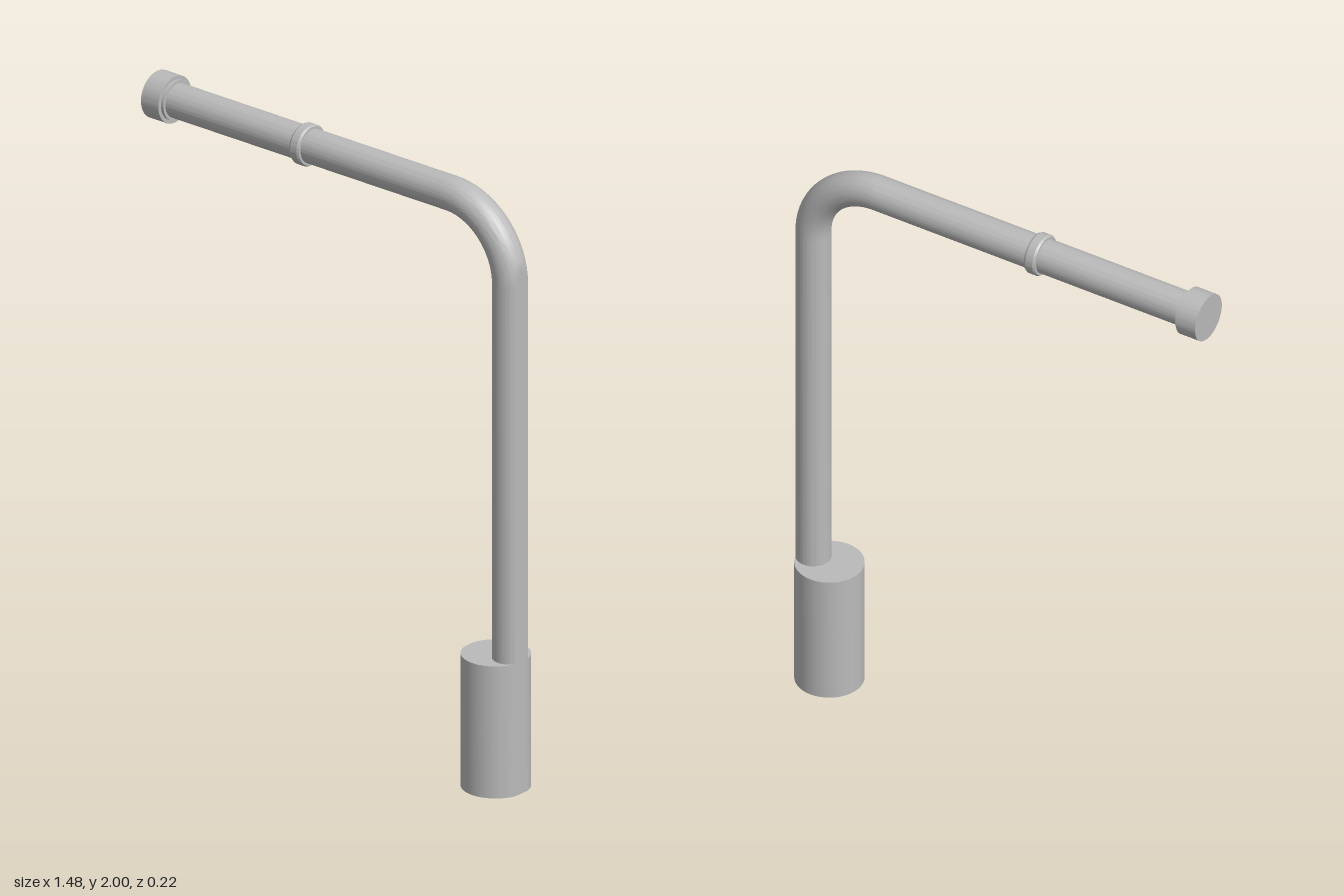
import * as THREE from 'three';
import { toCreasedNormals } from 'three/addons/utils/BufferGeometryUtils.js';

const PIPE_R = 0.0555, BEND_R = 0.24;
const POST_X = 0.696, ARM_Y = 1.923;
const FLAT_X = 0.742; // base and post are trimmed flush at this plane
const BEND_X = POST_X - BEND_R, BEND_Y = ARM_Y - BEND_R;

export function createModel() {
  const model = new THREE.Group();
  model.name = 'bentPipe';
  const metal = new THREE.MeshStandardMaterial({ color: 0xbababa });
  metal.name = 'greyMetal';

  const add = (name, geometry) => {
    const mesh = new THREE.Mesh(toCreasedNormals(geometry, 0.4), metal);
    mesh.name = name;
    model.add(mesh);
  };

  const lathe = (points) =>
    new THREE.LatheGeometry(points.map(([r, y]) => new THREE.Vector2(r, y)), 64);

  // Flatten everything beyond the trim plane
  const trim = (geometry) => {
    const p = geometry.attributes.position;
    for (let i = 0; i < p.count; i++) p.setX(i, Math.min(p.getX(i), FLAT_X));
    return geometry;
  };

  // Round part on the arm: profile is [radius, distance towards -x]
  const armPart = (name, points) =>
    add(name, lathe(points).rotateZ(Math.PI / 2).translate(0, ARM_Y, 0));

  // Base with a blind bore underneath
  add('base', trim(lathe([
    [0, 0.3], [0.04, 0.3], [0.04, 0], [0.1085, 0], [0.1085, 0.44], [0, 0.44],
  ]).translate(0.6375, 0, 0)));

  // Post, elbow and arm share one pipe radius
  add('post', trim(lathe([[PIPE_R, 0.44], [PIPE_R, BEND_Y]]).translate(POST_X, 0, 0)));
  add('elbow', trim(new THREE.TorusGeometry(BEND_R, PIPE_R, 64, 32, Math.PI / 2)
    .translate(BEND_X, BEND_Y, 0)));
  armPart('arm', [[PIPE_R, -BEND_X], [PIPE_R, 0.67]]);

  // Collar with small chamfers
  armPart('collar', [
    [PIPE_R, 0.11], [0.063, 0.11], [0.067, 0.117], [0.067, 0.143], [0.063, 0.15], [PIPE_R, 0.15],
  ]);

  // End cap with a narrow shoulder
  armPart('endCapShoulder', [[PIPE_R, 0.661], [0.065, 0.661], [0.065, 0.672]]);
  armPart('endCap', [[PIPE_R, 0.671], [0.077, 0.671], [0.077, 0.742], [0, 0.742]]);

  return model;
}
